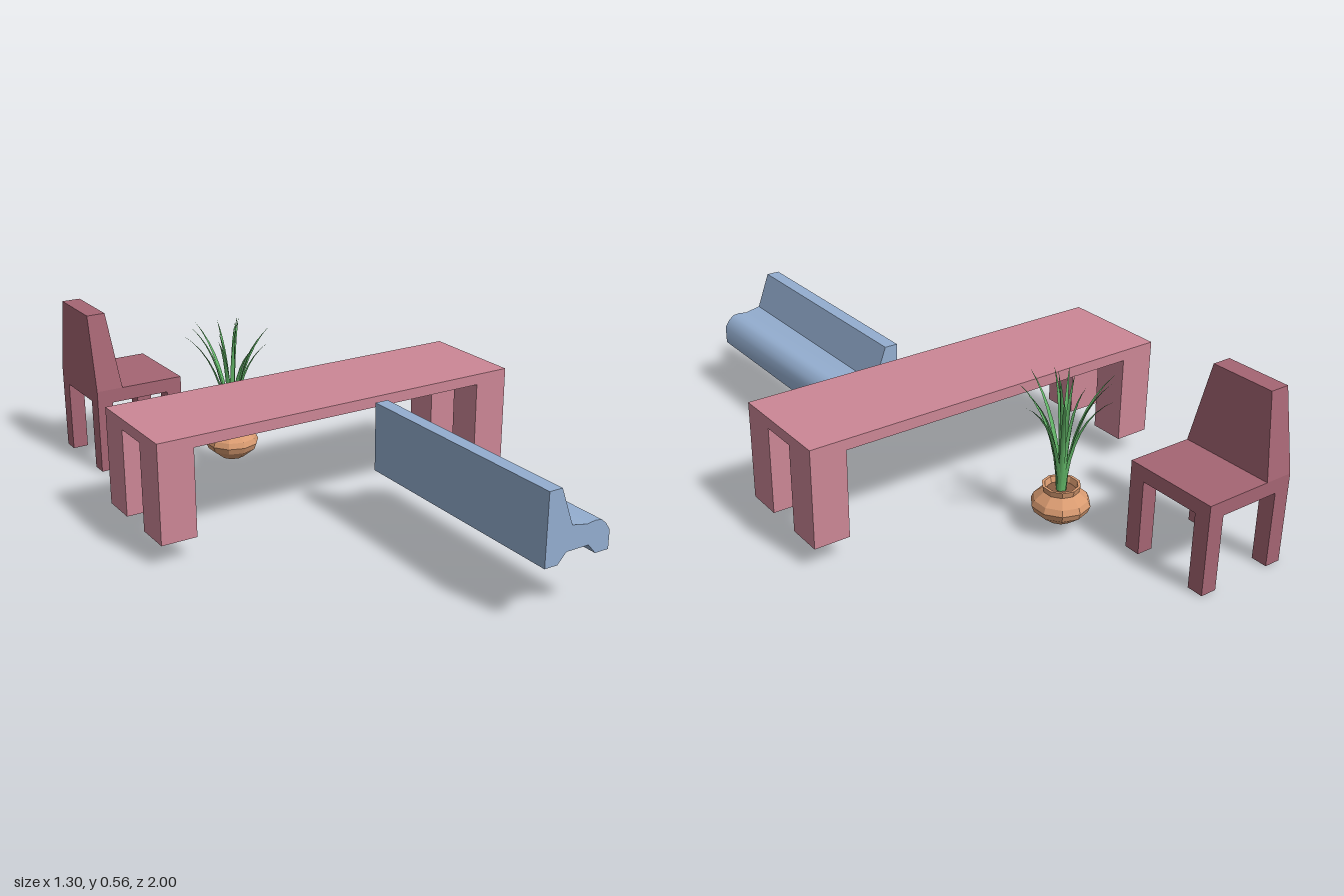
import * as THREE from 'three';
import { toCreasedNormals } from 'three/addons/utils/BufferGeometryUtils.js';

const mat = (color, extra = {}) => new THREE.MeshStandardMaterial({ color, ...extra });

function add(parent, name, geometry, material) {
  const mesh = new THREE.Mesh(geometry, material);
  mesh.name = name;
  parent.add(mesh);
  return mesh;
}

// Box given by its minimum and maximum corners
function span(x0, x1, y0, y1, z0, z1) {
  return new THREE.BoxGeometry(x1 - x0, y1 - y0, z1 - z0)
    .translate((x0 + x1) / 2, (y0 + y1) / 2, (z0 + z1) / 2);
}

// Slab on four corner legs
function slabOnLegs(group, name, b, legX, legZ, material) {
  add(group, name, span(b.x0, b.x1, b.under, b.top, b.z0, b.z1), material);
  for (const x of [b.x0, b.x1 - legX])
    for (const z of [b.z0, b.z1 - legZ])
      add(group, 'leg', span(x, x + legX, b.foot, b.under, z, z + legZ), material);
}

function makeTable() {
  const g = new THREE.Group();
  g.name = 'table';
  slabOnLegs(g, 'tableTop',
    { x0: -0.65, x1: 0.65, foot: 0.075, under: 0.367, top: 0.403, z0: -0.257, z1: 0.113 },
    0.12, 0.122, mat(0xcc8796));
  return g;
}

function makeChair() {
  const g = new THREE.Group();
  g.name = 'chair';
  const m = mat(0xa56573);
  slabOnLegs(g, 'seat',
    { x0: -0.505, x1: -0.185, foot: 0, under: 0.25, top: 0.298, z0: -1, z1: -0.68 },
    0.055, 0.055, m);
  // Backrest: narrower and thinner towards the top
  const back = span(-0.505, -0.41, 0.298, 0.56, -1, -0.68);
  const p = back.attributes.position;
  for (let i = 0; i < p.count; i++) {
    if (p.getY(i) < 0.4) continue;
    if (p.getX(i) > -0.45) p.setX(i, -0.44);
    p.setZ(i, -0.84 + (p.getZ(i) + 0.84) * 0.7);
  }
  back.computeVertexNormals();
  add(g, 'backrest', back, m);
  return g;
}

function makeBench() {
  const g = new THREE.Group();
  g.name = 'bench';
  // Side profile swept along z
  const profile = [
    [0.065, 0.188], [0.11, 0.188], [0.14, 0.22], [0.22, 0.22], [0.248, 0.188],
    [0.296, 0.188], [0.296, 0.248], [0.28, 0.272], [0.262, 0.287], [0.24, 0.29],
    [0.21, 0.286], [0.155, 0.297], [0.11, 0.416], [0.065, 0.416],
  ].map(([x, y]) => new THREE.Vector2(x, y));
  const geo = new THREE.ExtrudeGeometry(new THREE.Shape(profile), { depth: 0.81, bevelEnabled: false });
  geo.translate(0, 0, 0.19);
  add(g, 'benchBody', toCreasedNormals(geo, 0.75), mat(0x94aed0));
  return g;
}

// Tapered, folded grass blade bending from the pot out to its tip
function bladeGeometry(tip) {
  const out = new THREE.Vector3(tip.x, 0, tip.z);
  const dir = out.clone().normalize();
  const side = new THREE.Vector3(-dir.z, 0, dir.x);
  const base = dir.clone().multiplyScalar(0.012).setY(0.13);
  const bend = out.clone().multiplyScalar(0.16).setY(tip.y * 0.8);
  const curve = new THREE.QuadraticBezierCurve3(base, bend, tip);
  const pos = [], index = [], steps = 8;
  for (let i = 0; i <= steps; i++) {
    const t = i / steps, c = curve.getPoint(t);
    const half = 0.011 * (1 - t) * (0.8 + 0.9 * t);
    for (const s of [-1, 0, 1]) {
      const v = c.clone().addScaledVector(side, s * half).addScaledVector(dir, s ? -half * 0.4 : half * 0.4);
      pos.push(v.x, v.y, v.z);
    }
    if (i === steps) break;
    for (const a of [i * 3, i * 3 + 1]) index.push(a, a + 1, a + 3, a + 1, a + 4, a + 3);
  }
  const geo = new THREE.BufferGeometry();
  geo.setAttribute('position', new THREE.Float32BufferAttribute(pos, 3));
  geo.setIndex(index);
  geo.computeVertexNormals();
  return geo;
}

function makePlant() {
  const g = new THREE.Group();
  g.name = 'pottedPlant';
  g.position.set(-0.085, 0, -0.487);

  // Faceted pot with an open neck
  const profile = [
    [0, 0.04], [0.042, 0.04], [0.086, 0.075], [0.094, 0.096], [0.086, 0.115],
    [0.056, 0.14], [0.061, 0.16], [0.052, 0.16], [0.046, 0.14],
  ].map(([r, y]) => new THREE.Vector2(r, y));
  add(g, 'pot', new THREE.LatheGeometry(profile, 10),
    mat(0xd89a70, { flatShading: true, side: THREE.DoubleSide }));
  add(g, 'soil', new THREE.CircleGeometry(0.047, 10).rotateX(-Math.PI / 2).translate(0, 0.141, 0), mat(0x8a5f45));

  // Blade tips relative to the pot centre: x, y, z
  const tips = [
    [-0.158, 0.5, -0.04], [-0.045, 0.497, -0.168], [0.175, 0.483, -0.03], [0.085, 0.48, 0.125],
    [-0.005, 0.482, 0.174], [-0.09, 0.5, 0.09], [-0.052, 0.508, 0.02], [-0.008, 0.53, 0.065],
    [0.01, 0.537, 0.025], [0.052, 0.54, -0.035], [0.097, 0.508, -0.11], [0, 0.52, -0.09],
    [0.12, 0.485, 0.03], [-0.1, 0.505, -0.09],
  ];
  const green = mat(0x63b768, { side: THREE.DoubleSide });
  for (const t of tips) add(g, 'blade', bladeGeometry(new THREE.Vector3(...t)), green);
  return g;
}

export function createModel() {
  const model = new THREE.Group();
  model.name = 'furnitureSet';
  model.add(makeTable(), makeChair(), makeBench(), makePlant());
  return model;
}
